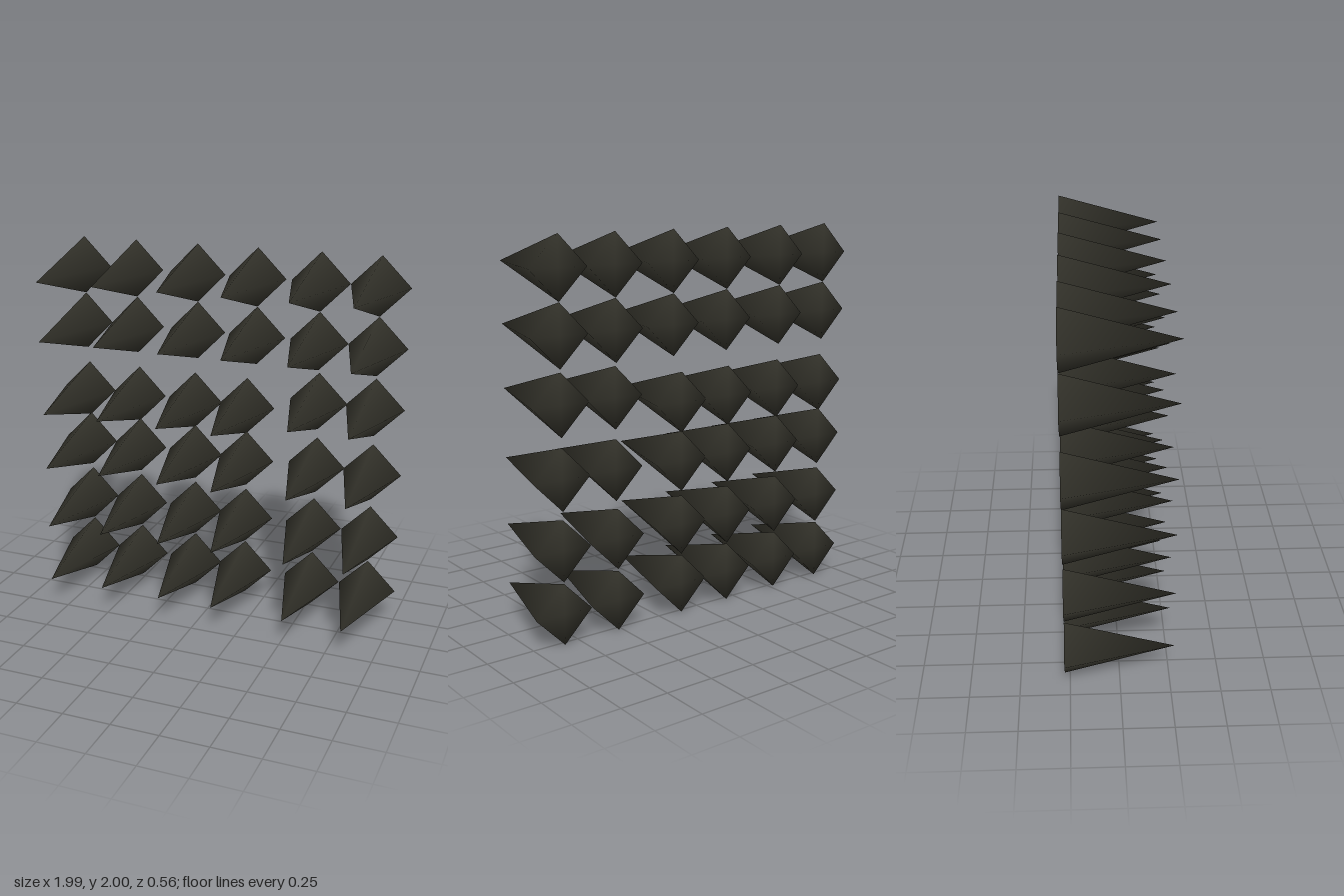
import * as THREE from 'three';
import { mergeVertices } from 'three/addons/utils/BufferGeometryUtils.js';

export function createModel() {
  const model = new THREE.Group();
  model.name = 'spikeWall';
  const darkOlive = new THREE.MeshStandardMaterial({ color: 0x33322a });
  darkOlive.name = 'darkOlive';

  // Four-sided spike pointing forward, with normals shared across its edges
  let spikeGeometry = new THREE.ConeGeometry(0.157, 0.555, 4);
  spikeGeometry.deleteAttribute('normal');
  spikeGeometry.deleteAttribute('uv');
  spikeGeometry = mergeVertices(spikeGeometry);
  spikeGeometry.computeVertexNormals();
  spikeGeometry.rotateX(Math.PI / 2);

  // Clusters of spikes, each a small grid of columns and rows
  const clusters = [
    { name: 'upperRight', xs: [-0.84, -0.525], ys: [1.843, 1.528] },
    { name: 'upperMiddle', xs: [-0.165, 0.175], ys: [1.843, 1.528] },
    { name: 'upperLeft', xs: [0.52, 0.835], ys: [1.843, 1.528] },
    { name: 'middleRight', xs: [-0.833, -0.52], ys: [1.13, 0.823] },
    { name: 'middleCentre', xs: [-0.182, 0.123], ys: [1.13, 0.823] },
    { name: 'middleLeft', xs: [0.527, 0.835], ys: [1.2, 0.838] },
    { name: 'lowerRight', xs: [-0.833, -0.52], ys: [0.483, 0.162] },
    { name: 'lowerCentre', xs: [-0.182, 0.123], ys: [0.483, 0.162] },
    { name: 'lowerLeft', xs: [0.52, 0.837], ys: [0.483, 0.16] },
  ];
  for (const { name, xs, ys } of clusters) {
    const cluster = new THREE.Group();
    cluster.name = name + 'Spikes';
    for (const y of ys) {
      for (const x of xs) {
        const spike = new THREE.Mesh(spikeGeometry, darkOlive);
        spike.name = 'spike';
        spike.position.set(x, y, 0);
        cluster.add(spike);
      }
    }
    model.add(cluster);
  }
  return model;
}
